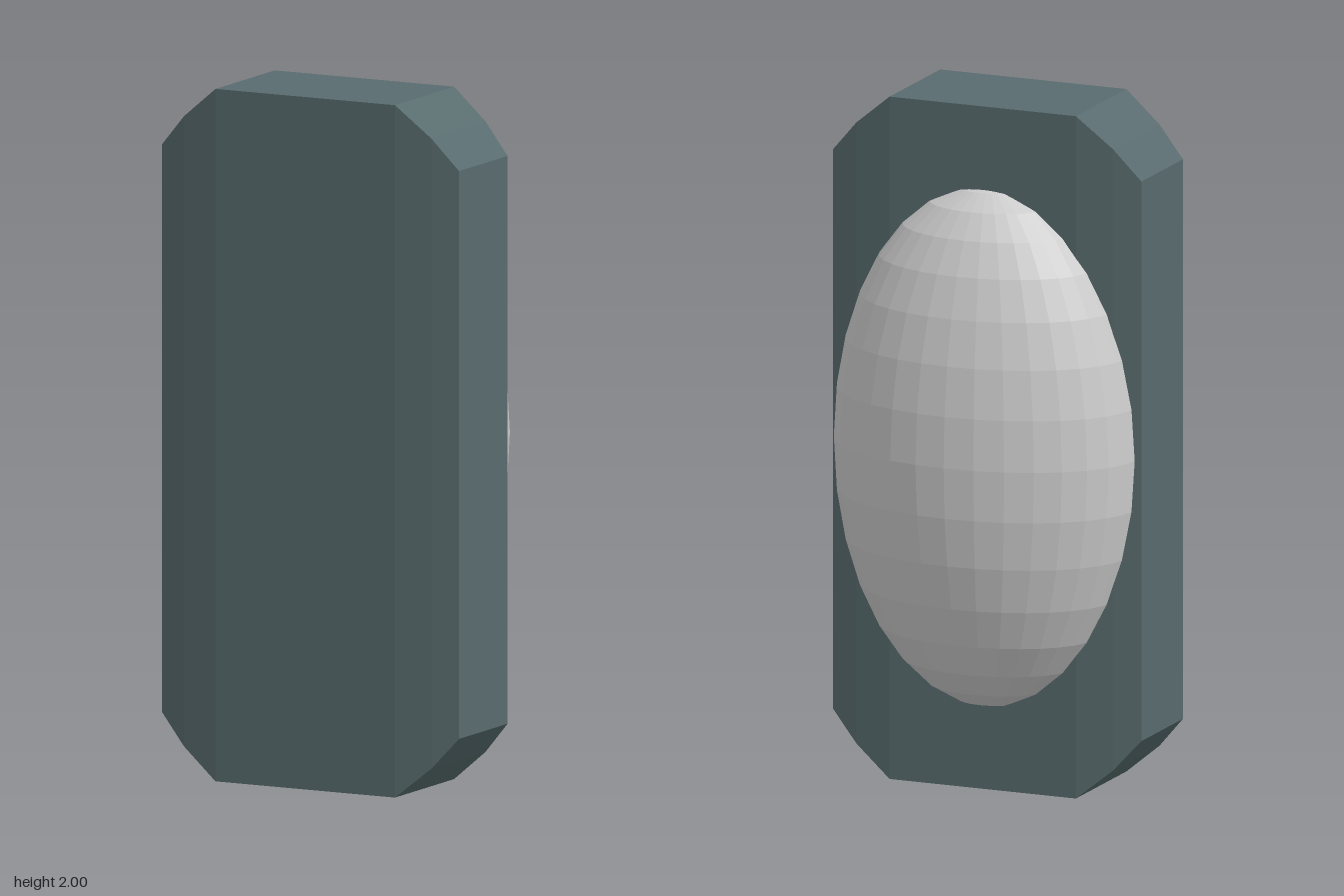
import * as THREE from 'three';

// Slab columns from the middle outwards: x, half height, half depth
const COLUMNS = [
  [0.29, 1.0, 0.178],
  [0.40, 0.91, 0.163],
  [0.48, 0.82, 0.146],
];

function slabGeometry() {
  const geo = new THREE.BoxGeometry(5, 2, 2, 5, 1, 1);
  const pos = geo.attributes.position;
  for (let i = 0; i < pos.count; i++) {
    // Each box column takes its own width, height and depth
    const x = pos.getX(i);
    const [cx, hy, hz] = COLUMNS[Math.round(Math.abs(x) - 0.5)];
    pos.setXYZ(i, Math.sign(x) * cx, pos.getY(i) * hy, pos.getZ(i) * hz);
  }
  geo.computeVertexNormals();
  return geo;
}

export function createModel() {
  const model = new THREE.Group();
  model.name = 'domedSlab';

  // Dark slab with clipped corners and slightly tapered sides
  const slab = new THREE.Mesh(
    slabGeometry(),
    new THREE.MeshStandardMaterial({ color: 0x586b6e, flatShading: true })
  );
  slab.name = 'slab';
  slab.position.set(0, 1, 0.137);
  model.add(slab);

  // Faceted oval dome bulging from the back
  const dome = new THREE.Mesh(
    new THREE.SphereGeometry(1, 32, 16).scale(0.463, 0.765, 0.315),
    new THREE.MeshStandardMaterial({ color: 0xcccccc, flatShading: true })
  );
  dome.name = 'backDome';
  dome.position.set(0, 1, 0);
  model.add(dome);

  return model;
}
